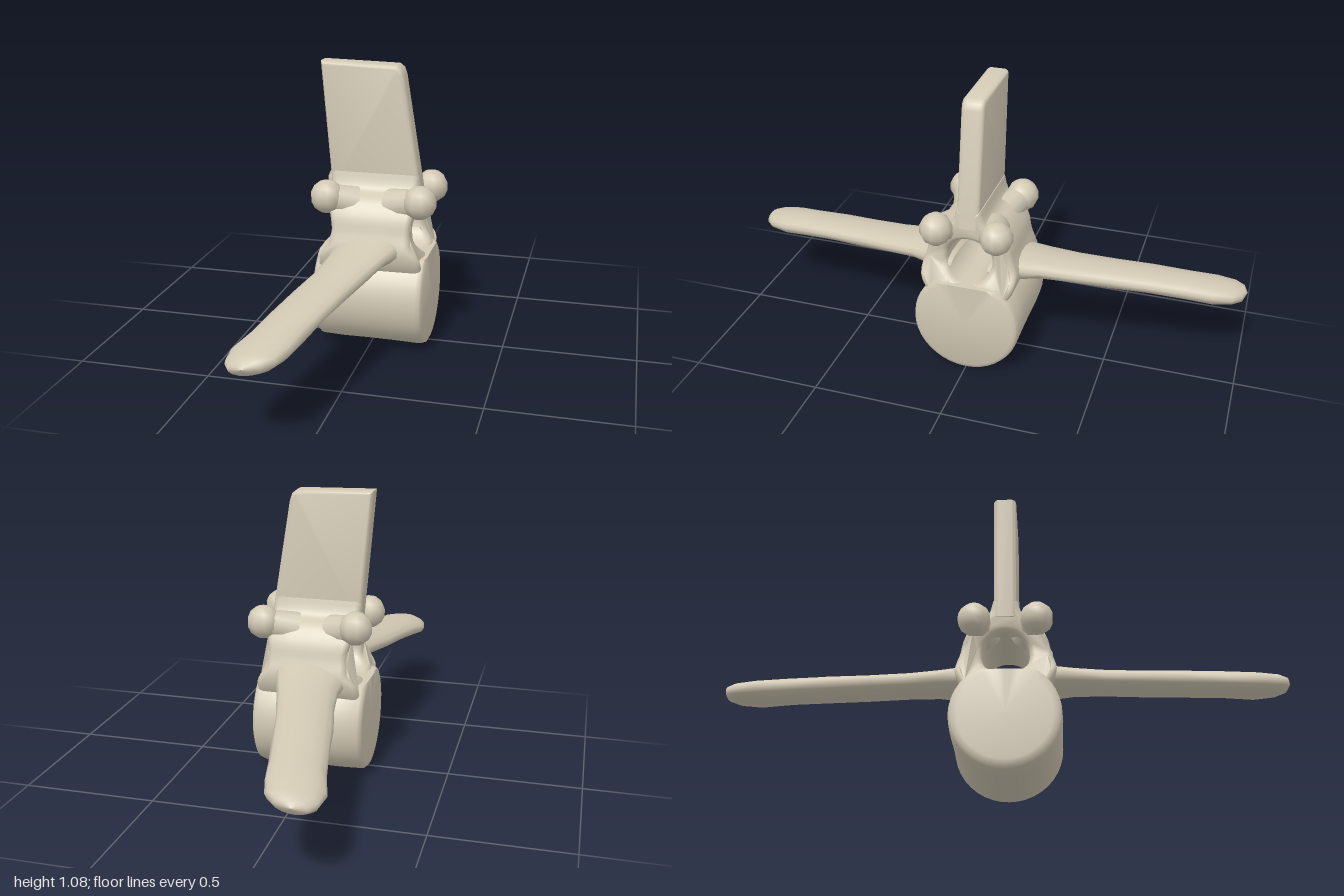
import * as THREE from 'three';
import { toCreasedNormals } from 'three/addons/utils/BufferGeometryUtils.js';

const bone = new THREE.MeshStandardMaterial({ color: 0xd2c9b4 });
bone.name = 'bone';

function add(group, name, geometry) {
  const mesh = new THREE.Mesh(geometry, bone);
  mesh.name = name;
  group.add(mesh);
  return mesh;
}

// Linear interpolation in a small table of [key, value] pairs
function lookup(table, k) {
  if (k <= table[0][0]) return table[0][1];
  for (let i = 1; i < table.length; i++) {
    const [a, va] = table[i - 1], [b, vb] = table[i];
    if (k <= b) return va + (vb - va) * (k - a) / (b - a);
  }
  return table[table.length - 1][1];
}

// Drum-shaped body lying along x, with a flattened canal floor
function bodyGeometry() {
  const profile = [[0, -0.2], [0.17, -0.2], [0.19, -0.197], [0.201, -0.185], [0.204, -0.1], [0.203, 0],
    [0.204, 0.1], [0.206, 0.195], [0.2, 0.212], [0.185, 0.219], [0, 0.219]].map(([r, x]) => new THREE.Vector2(r, x));
  const geo = new THREE.LatheGeometry(profile, 40);
  geo.rotateZ(-Math.PI / 2).translate(0, 0.207, 0);
  const p = geo.attributes.position;
  for (let i = 0; i < p.count; i++) p.setY(i, Math.min(p.getY(i), 0.373));
  return toCreasedNormals(geo, 0.8);
}

// Arch around the canal, waisted when seen from the front
function archGeometry() {
  const half = new THREE.SplineCurve([[0.14, 0.3], [0.172, 0.35], [0.185, 0.41], [0.168, 0.47], [0.152, 0.53],
    [0.115, 0.585], [0.065, 0.615], [0.046, 0.67]].map(([x, y]) => new THREE.Vector2(x, y))).getPoints(22);
  const mirrored = half.map(v => new THREE.Vector2(-v.x, v.y)).reverse();
  const shape = new THREE.Shape([...half, ...mirrored]);
  shape.holes.push(new THREE.Path().absarc(0, 0.459, 0.088, 0, Math.PI * 2, true));
  const bevel = 0.02;
  const geo = new THREE.ExtrudeGeometry(shape, { depth: 0.26, steps: 4, curveSegments: 24,
    bevelSize: bevel, bevelThickness: bevel, bevelOffset: -bevel, bevelSegments: 3 });
  geo.rotateY(Math.PI / 2);
  const back = [[0.3, -0.19], [0.38, -0.175], [0.42, -0.138], [0.49, -0.13], [0.56, -0.15], [0.66, -0.165]];
  const fore = [[0.3, 0.21], [0.38, 0.205], [0.43, 0.168], [0.49, 0.162], [0.56, 0.175], [0.66, 0.174]];
  const p = geo.attributes.position;
  for (let i = 0; i < p.count; i++) {
    const t = (p.getX(i) + bevel) / (0.26 + 2 * bevel);
    const a = lookup(back, p.getY(i)), b = lookup(fore, p.getY(i));
    p.setX(i, a + (b - a) * t);
  }
  return toCreasedNormals(geo, 0.8);
}

// Tall flat blade on top
function bladeGeometry() {
  const pts = [[-0.16, 0.6], [0.182, 0.6], [0.174, 0.65], [0.112, 1.035], [0.103, 1.06], [0.085, 1.074], [-0.2, 1.08]];
  const shape = new THREE.Shape(pts.map(([x, y]) => new THREE.Vector2(x, y)));
  const geo = new THREE.ExtrudeGeometry(shape, { depth: 0.05, bevelSize: 0.014, bevelThickness: 0.018,
    bevelOffset: -0.014, bevelSegments: 4 });
  geo.translate(0, 0, -0.025);
  return toCreasedNormals(geo, 0.7);
}

// Side wing: tilted oval sections [z, x, y, half width, half height]
function wingGeometry(side) {
  const sections = [[0.07, 0.005, 0.4, 0.16, 0.03], [0.13, 0.005, 0.4, 0.15, 0.068], [0.18, 0, 0.4, 0.13, 0.056],
    [0.25, -0.012, 0.394, 0.115, 0.046], [0.36, -0.037, 0.378, 0.107, 0.043], [0.5, -0.07, 0.36, 0.102, 0.043],
    [0.64, -0.1, 0.343, 0.098, 0.043], [0.78, -0.128, 0.326, 0.097, 0.043], [0.88, -0.15, 0.311, 0.1, 0.043],
    [0.95, -0.16, 0.305, 0.085, 0.036], [0.985, -0.165, 0.305, 0.055, 0.025], [1, -0.17, 0.306, 0.001, 0.001]];
  const n = 16, tilt = 0.14, pos = [], index = [];
  sections.forEach(([z, x, y, w, h], i) => {
    for (let j = 0; j < n; j++) {
      const a = j / n * Math.PI * 2;
      const swell = 1 + 0.025 * Math.sin(i * 2.3 + j * 1.1);
      const u = Math.cos(a) * w * swell, v = Math.sin(a) * h * swell;
      pos.push(x + u * Math.cos(tilt) - v * Math.sin(tilt), y + u * Math.sin(tilt) + v * Math.cos(tilt), z * side);
      if (i === 0) continue;
      const a0 = (i - 1) * n + j, a1 = (i - 1) * n + (j + 1) % n, b0 = a0 + n, b1 = a1 + n;
      if (side > 0) index.push(a0, a1, b1, a0, b1, b0);
      else index.push(a0, b1, a1, a0, b0, b1);
    }
  });
  const geo = new THREE.BufferGeometry();
  geo.setAttribute('position', new THREE.Float32BufferAttribute(pos, 3));
  geo.setIndex(index);
  geo.computeVertexNormals();
  return geo;
}

// Rounded joint knob with a neck reaching back into the arch
function addKnob(group, name, x, side) {
  const centre = new THREE.Vector3(x, 0.59, 0.115 * side);
  const root = new THREE.Vector3(x * 0.4, 0.56, 0.07 * side);
  const knob = new THREE.Group();
  knob.name = name;
  add(knob, 'knobHead', new THREE.SphereGeometry(0.063, 10, 7)).position.copy(centre);
  const dir = centre.clone().sub(root);
  const neck = add(knob, 'knobNeck', new THREE.CylinderGeometry(0.048, 0.062, dir.length(), 12, 1, true));
  neck.position.copy(root).add(centre).multiplyScalar(0.5);
  neck.quaternion.setFromUnitVectors(new THREE.Vector3(0, 1, 0), dir.normalize());
  group.add(knob);
}

export function createModel() {
  const model = new THREE.Group();
  model.name = 'vertebra';
  add(model, 'body', bodyGeometry());
  add(model, 'arch', archGeometry());
  add(model, 'topBlade', bladeGeometry());
  for (const side of [1, -1]) {
    const end = side > 0 ? 'Front' : 'Back';
    add(model, 'sideWing' + end, wingGeometry(side));
    addKnob(model, 'leftKnob' + end, 0.192, side);
    addKnob(model, 'rightKnob' + end, -0.158, side);
  }
  return model;
}
